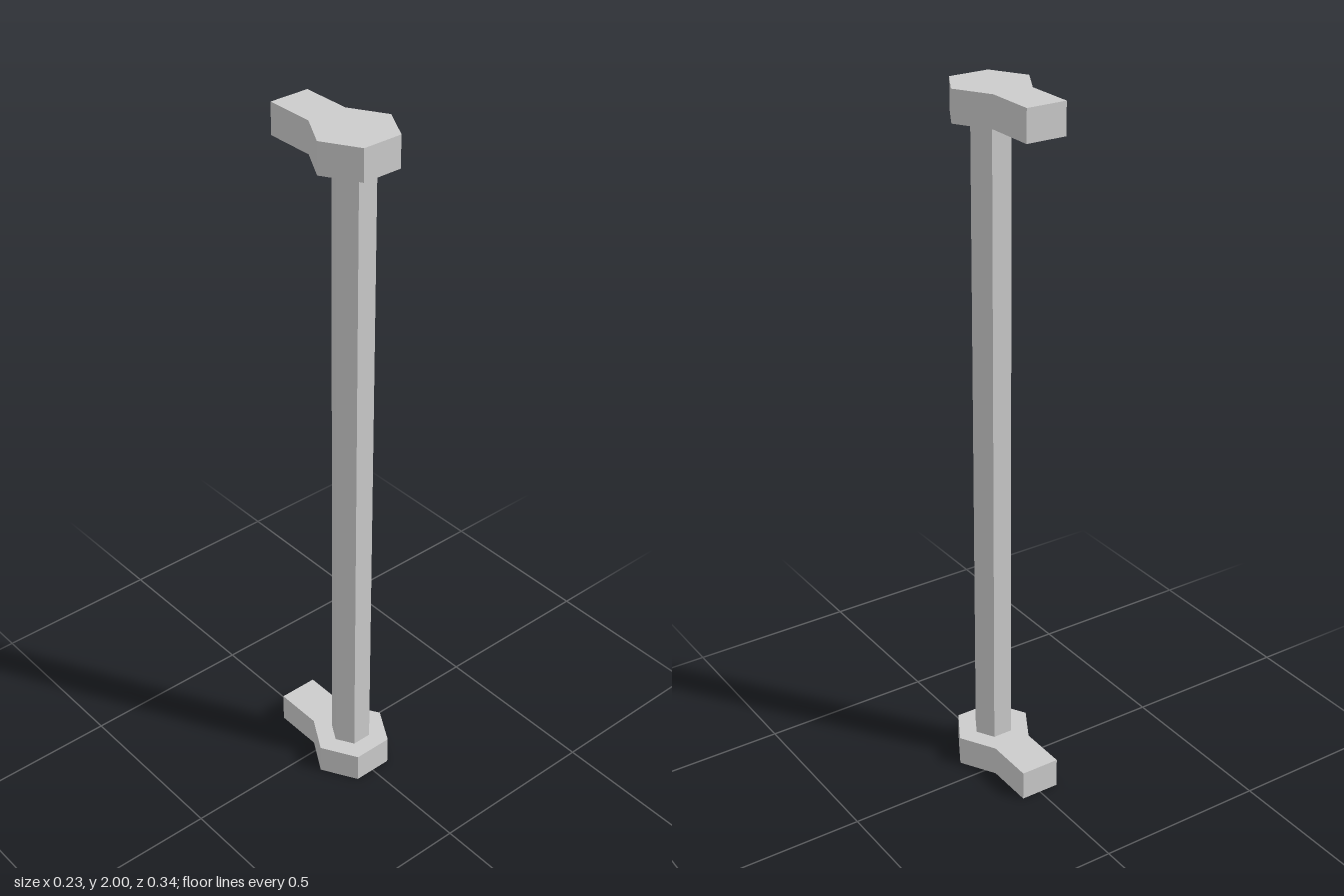
import * as THREE from 'three';

export function createModel() {
  const group = new THREE.Group();
  const material = new THREE.MeshStandardMaterial({ color: 0xcccccc, flatShading: true });

  const poleZ = 0.071;      // hexagon centre
  const radius = 0.115;     // bracket hexagon
  const flat = radius * Math.sqrt(3) / 2;
  const backZ = -0.171;
  const thickness = 0.087;
  const height = 2;

  // Bracket outline: hexagonal collar with a straight arm to the back
  const half = radius / 2;
  const outline = [
    [-half, poleZ + flat], [half, poleZ + flat], [radius, poleZ], [half, poleZ - flat],
    [half, backZ], [-half, backZ], [-half, poleZ - flat], [-radius, poleZ],
  ];
  const shape = new THREE.Shape(outline.map(([x, z]) => new THREE.Vector2(x, -z)));
  const bracketGeometry = new THREE.ExtrudeGeometry(shape, { depth: thickness, bevelEnabled: false });
  bracketGeometry.rotateX(-Math.PI / 2);

  for (const [name, y] of [['lowerBracket', 0], ['upperBracket', height - thickness]]) {
    const bracket = new THREE.Mesh(bracketGeometry, material);
    bracket.name = name;
    bracket.position.y = y;
    group.add(bracket);
  }

  // Six-sided bar between the brackets, flat side to the front
  const barGeometry = new THREE.CylinderGeometry(0.0575, 0.0575, height - 2 * thickness, 6, 1, true);
  barGeometry.rotateY(Math.PI / 6);
  const bar = new THREE.Mesh(barGeometry, material);
  bar.name = 'bar';
  bar.position.set(0, height / 2, poleZ);
  group.add(bar);

  return group;
}
